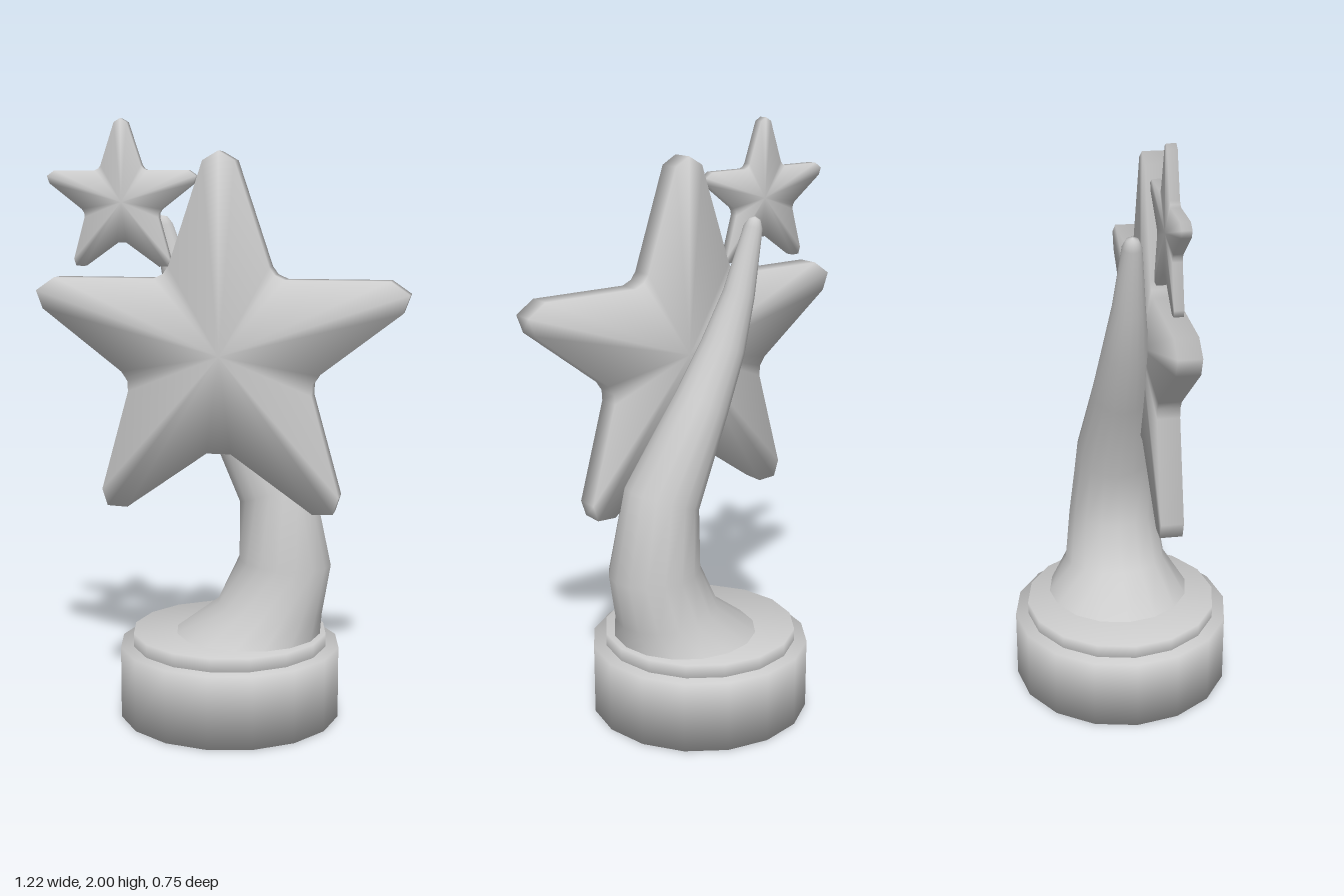
import * as THREE from 'three';
import { mergeVertices } from 'three/addons/utils/BufferGeometryUtils.js';

const material = new THREE.MeshStandardMaterial({ color: 0xcccccc });

function addMesh(parent, name, geometry) {
  const mesh = new THREE.Mesh(geometry, material);
  mesh.name = name;
  parent.add(mesh);
  return mesh;
}

function buildGeometry(positions, index, normals) {
  const g = new THREE.BufferGeometry();
  g.setAttribute('position', new THREE.Float32BufferAttribute(positions, 3));
  g.setIndex(index);
  if (normals) g.setAttribute('normal', new THREE.Float32BufferAttribute(normals, 3));
  else g.computeVertexNormals();
  return g;
}

// Cylinder whose shading runs softly over its rims
function softDisc(radius, height) {
  const g = new THREE.CylinderGeometry(radius, radius, height, 16);
  g.deleteAttribute('uv');
  g.deleteAttribute('normal');
  const merged = mergeVertices(g);
  merged.computeVertexNormals();
  return merged;
}

// Flat five-pointed star around the origin, with normals leaning out at the rim
function starGeometry(thickness) {
  const half = [
    [0, 0.655], [0.052, 0.625], [0.165, 0.29], [0.183, 0.265], [0.215, 0.25],
    [0.55, 0.25], [0.612, 0.207], [0.59, 0.148], [0.325, -0.055], [0.305, -0.085], [0.303, -0.12],
    [0.395, -0.45], [0.377, -0.505], [0.31, -0.508], [0.04, -0.318],
  ];
  const outline = [...half, ...half.slice(1).reverse().map(([x, y]) => [-x, y])];
  const n = outline.length, h = thickness / 2;
  const positions = [], normals = [], index = [];
  for (const s of [1, -1]) {
    outline.forEach(([x, y], i) => {
      const p = outline[(i + n - 1) % n], q = outline[(i + 1) % n];
      const out = new THREE.Vector2(p[1] - q[1], q[0] - p[0]).normalize();
      positions.push(x, y, s * h);
      normals.push(out.x * 0.7071, out.y * 0.7071, s * 0.7071);
    });
    positions.push(0, 0, s * h);
    normals.push(0, 0, s);
  }
  const back = n + 1;
  for (let i = 0; i < n; i++) {
    const j = (i + 1) % n;
    index.push(n, j, i, back + n, back + i, back + j);
    index.push(i, j, back + i, j, back + j, back + i);
  }
  return buildGeometry(positions, index, normals);
}

// Tapering bent horn lofted through tilted rings: [x, y, radius, tilt]
function hornGeometry() {
  const rings = [
    [0.075, 0.29, 0.246, 0],
    [0.15, 0.38, 0.178, -0.1],
    [0.2, 0.54, 0.156, -0.06],
    [0.168, 0.79, 0.131, 0.37],
    [0, 1.09, 0.095, 0.55],
    [-0.09, 1.27, 0.076, 0.45],
    [-0.155, 1.44, 0.054, 0.33],
    [-0.213, 1.655, 0.032, 0.25],
    [-0.219, 1.682, 0.02, 0.2],
    [-0.221, 1.69, 0.001, 0.2],
  ];
  const sides = 16, positions = [], index = [];
  rings.forEach(([x, y, r, tilt], j) => {
    for (let k = 0; k < sides; k++) {
      const a = (k / sides) * Math.PI * 2, c = r * Math.cos(a);
      positions.push(x + c * Math.cos(tilt), y + c * Math.sin(tilt), r * Math.sin(a));
      if (j === rings.length - 1) continue;
      const p = j * sides + k, q = j * sides + (k + 1) % sides;
      index.push(p, p + sides, q, q, p + sides, q + sides);
    }
  });
  return buildGeometry(positions, index);
}

export function createModel() {
  const group = new THREE.Group();
  group.name = 'starTrophy';

  // Two-step round base
  addMesh(group, 'base', softDisc(0.375, 0.245)).position.set(0.01, 0.1225, 0);
  addMesh(group, 'baseStep', softDisc(0.331, 0.09)).position.set(0.01, 0.245, 0);

  // Curved stem
  addMesh(group, 'horn', hornGeometry());

  // Large and small stars in front of the stem
  const star = starGeometry(0.074);
  addMesh(group, 'largeStar', star).position.set(0, 1.24, 0.103);
  const small = addMesh(group, 'smallStar', star);
  small.scale.setScalar(0.407);
  small.position.set(-0.328, 1.733, 0.093);

  return group;
}
